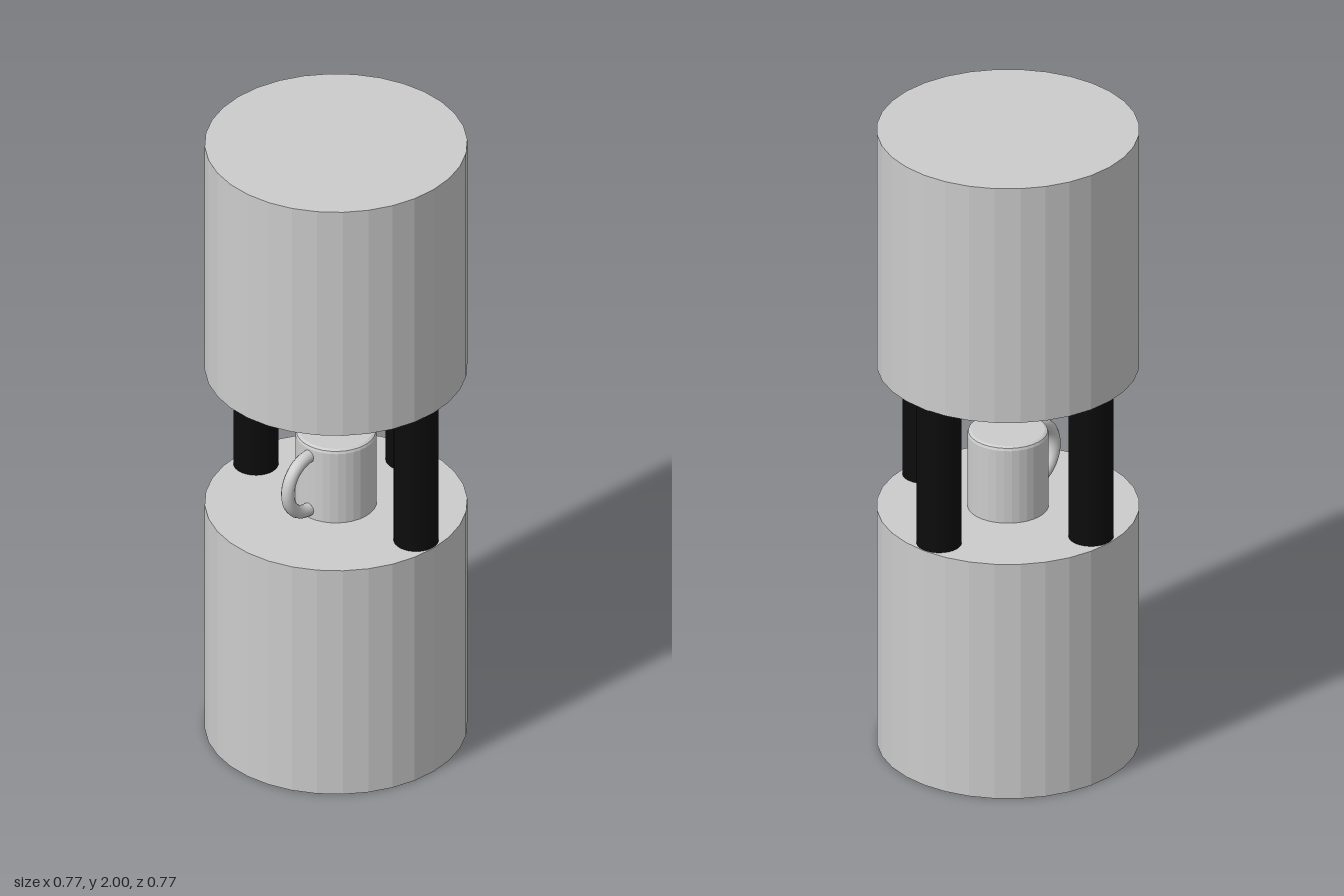
import * as THREE from 'three';

export function createModel() {
  const group = new THREE.Group();
  const grey = new THREE.MeshStandardMaterial({ color: 0xcccccc, flatShading: true });
  const smoothGrey = new THREE.MeshStandardMaterial({ color: 0xcccccc });
  const black = new THREE.MeshStandardMaterial({ color: 0x0c0c0c });

  const add = (name, geometry, material, x, y, z, parent = group) => {
    const mesh = new THREE.Mesh(geometry, material);
    mesh.name = name;
    mesh.position.set(x, y, z);
    parent.add(mesh);
    return mesh;
  };

  // Two matching drums with a gap between them
  const R = 0.384, H = 0.768, gapTop = 2 - H;
  const drum = new THREE.CylinderGeometry(R, R, H, 32);
  add('lowerDrum', drum, grey, 0, H / 2, 0);
  add('upperDrum', drum, grey, 0, 2 - H / 2, 0);

  // Three dark pillars; the handle side stays open
  const pillar = new THREE.CylinderGeometry(0.066, 0.066, gapTop - H, 32);
  [['frontPillar', 0, 0.315], ['backPillar', 0, -0.315], ['leftPillar', 0.315, 0]]
    .forEach(([name, x, z]) => add(name, pillar, black, x, 1, z));

  // Mug with a bevelled top edge, standing on the lower drum
  const mug = new THREE.Group();
  mug.name = 'mug';
  mug.position.y = H;
  group.add(mug);
  const profile = [[0, 0], [0.119, 0], [0.119, 0.236], [0.116, 0.244], [0.108, 0.248], [0, 0.248]]
    .map(([r, y]) => new THREE.Vector2(r, y));
  add('mugBody', new THREE.LatheGeometry(profile, 32), grey, 0, 0, 0, mug);

  // Half-ring handle towards -x
  const handle = add('mugHandle', new THREE.TorusGeometry(0.091, 0.02, 12, 24, Math.PI), smoothGrey, -0.119, 0.12, 0, mug);
  handle.rotation.z = Math.PI / 2;

  return group;
}
